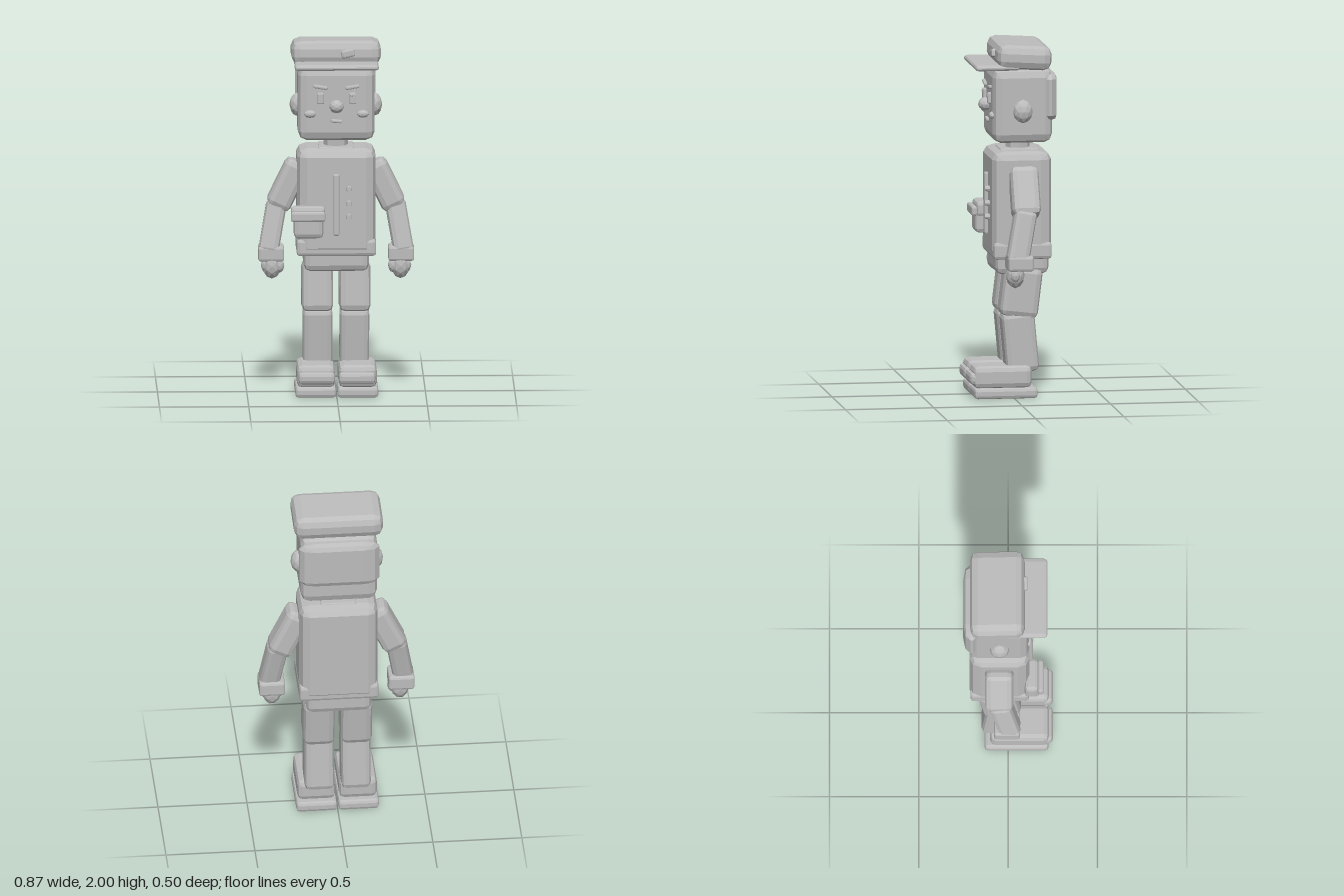
import * as THREE from 'three';
import { ConvexGeometry } from 'three/addons/geometries/ConvexGeometry.js';

const clay = new THREE.MeshStandardMaterial({ color: 0xbcbcbc });
clay.name = 'clay grey';

// Box with a two-step bevel; bevel is one number or [x, y, z]
function blockGeometry(size, bevel) {
  const b = (Array.isArray(bevel) ? bevel : [bevel, bevel, bevel])
    .map((v, i) => Math.min(v, size[i] * 0.48));
  const s = Math.SQRT1_2, t = 1 / Math.sqrt(3);
  const directions = [[1, 0, 0], [0, 1, 0], [0, 0, 1], [s, s, 0], [s, 0, s], [0, s, s], [t, t, t]];
  const points = [];
  for (const sx of [-1, 1]) for (const sy of [-1, 1]) for (const sz of [-1, 1]) {
    const sign = [sx, sy, sz];
    for (const d of directions) {
      points.push(new THREE.Vector3(...sign.map((k, i) => k * (size[i] / 2 - b[i] + d[i] * b[i]))));
    }
  }
  return new ConvexGeometry(points);
}

function add(parent, name, geometry, position, rotation = [0, 0, 0]) {
  const mesh = new THREE.Mesh(geometry, clay);
  mesh.name = name;
  mesh.position.set(...position);
  mesh.rotation.set(...rotation);
  parent.add(mesh);
  return mesh;
}

const block = (parent, name, size, position, bevel, rotation) =>
  add(parent, name, blockGeometry(size, bevel), position, rotation);

// Faceted ellipsoid
function blob(parent, name, radii, position) {
  const geometry = new THREE.IcosahedronGeometry(1, 1);
  geometry.scale(...radii);
  geometry.computeVertexNormals();
  return add(parent, name, geometry, position);
}

function section(model, name) {
  const group = new THREE.Group();
  group.name = name;
  model.add(group);
  return group;
}

export function createModel() {
  const model = new THREE.Group();
  model.name = 'cappedFigure';

  // Cap, visor and badge
  const cap = section(model, 'cap');
  block(cap, 'capCrown', [0.5, 0.135, 0.305], [0, 1.925, -0.06], [0.05, 0.045, 0.045], [-0.06, 0, 0]);
  block(cap, 'capVisor', [0.47, 0.032, 0.25], [0, 1.871, 0.095], [0.02, 0.012, 0.02]);
  block(cap, 'capBadge', [0.075, 0.045, 0.03], [0.065, 1.935, 0.097], 0.01, [0, 0, 0.2]);

  // Head, hair and neck
  const head = section(model, 'head');
  block(head, 'skull', [0.43, 0.42, 0.335], [0, 1.65, -0.052], [0.05, 0.05, 0.045]);
  block(head, 'backHair', [0.45, 0.275, 0.095], [0, 1.697, -0.204], [0.09, 0.035, 0.04]);
  add(head, 'neck', new THREE.CylinderGeometry(0.068, 0.068, 0.12, 8).toNonIndexed(), [0, 1.42, -0.05])
    .geometry.computeVertexNormals();

  // Face
  blob(head, 'nose', [0.041, 0.038, 0.04], [0, 1.64, 0.133]);
  block(head, 'mouth', [0.065, 0.019, 0.03], [0, 1.555, 0.117], 0.007, [0, 0, -0.08]);
  for (const side of [-1, 1]) {
    block(head, 'eye', [0.04, 0.064, 0.035], [side * 0.09, 1.685, 0.117], 0.008);
    block(head, 'eyeGlint', [0.012, 0.016, 0.012], [side * 0.09 - 0.005, 1.702, 0.134], 0.003);
    block(head, 'eyebrow', [0.08, 0.02, 0.03], [side * 0.09, 1.748, 0.117], 0.007, [0, 0, side * 0.17]);
    blob(head, 'cheek', [0.034, 0.022, 0.02], [side * 0.148, 1.595, 0.115]);
    blob(head, 'ear', [0.046, 0.067, 0.056], [side * 0.214, 1.623, -0.048]);
  }

  // Jacket
  const torso = section(model, 'torso');
  block(torso, 'jacket', [0.44, 0.605, 0.335], [0, 1.088, -0.048], [0.055, 0.045, 0.065]);
  block(torso, 'jacketHem', [0.445, 0.095, 0.328], [0, 0.833, -0.048], 0.018);
  block(torso, 'collar', [0.2, 0.03, 0.22], [0, 1.381, -0.048], 0.008);
  block(torso, 'zipper', [0.035, 0.35, 0.035], [-0.002, 1.08, 0.122], 0.009);
  for (const y of [1.17, 1.088, 1.012]) {
    const button = new THREE.CylinderGeometry(0.014, 0.019, 0.035, 8).toNonIndexed();
    button.computeVertexNormals();
    add(torso, 'button', button, [0.07, y, 0.128], [Math.PI / 2, 0, 0]);
  }

  // Side pouch
  const pouch = section(model, 'pouch');
  block(pouch, 'pouchBody', [0.165, 0.155, 0.085], [-0.157, 0.973, 0.133], 0.025);
  block(pouch, 'pouchFlap', [0.192, 0.085, 0.075], [-0.16, 1.032, 0.132], 0.02);
  block(pouch, 'pouchFlapLip', [0.192, 0.056, 0.032], [-0.16, 1.022, 0.182], 0.012);

  // Arms
  for (const side of [-1, 1]) {
    const arm = section(model, side > 0 ? 'leftArm' : 'rightArm');
    block(arm, 'sleeve', [0.14, 0.29, 0.16], [side * 0.27, 1.17, -0.05], 0.035, [0, 0, side * 0.45]);
    block(arm, 'forearm', [0.115, 0.31, 0.125], [side * 0.355, 0.935, -0.018], 0.03, [-0.2, 0, side * 0.17]);
    block(arm, 'cuff', [0.145, 0.085, 0.145], [side * 0.364, 0.79, -0.006], 0.014);
    blob(arm, 'hand', [0.053, 0.075, 0.053], [side * 0.36, 0.72, 0.018]);
    blob(arm, 'thumb', [0.028, 0.042, 0.03], [side * 0.318, 0.722, 0.03]);
    blob(arm, 'fingers', [0.028, 0.042, 0.03], [side * 0.393, 0.722, 0.022]);
  }

  // Hips, legs and shoes
  block(model, 'hips', [0.365, 0.16, 0.3], [0, 0.775, -0.052], 0.035);
  for (const side of [-1, 1]) {
    const leg = section(model, side > 0 ? 'leftLeg' : 'rightLeg');
    block(leg, 'thigh', [0.175, 0.29, 0.215], [side * 0.105, 0.595, -0.048], 0.035, [-0.12, 0, 0]);
    block(leg, 'shin', [0.165, 0.34, 0.185], [side * 0.103, 0.31, -0.043], 0.03, [0.09, 0, 0]);
    block(leg, 'shoeUpper', [0.213, 0.125, 0.33], [side * 0.117, 0.12, 0.064], 0.03);
    block(leg, 'toeCap', [0.205, 0.068, 0.07], [side * 0.113, 0.113, 0.215], 0.022);
    block(leg, 'sole', [0.228, 0.06, 0.356], [side * 0.118, 0.03, 0.047], 0.018);
  }

  return model;
}
